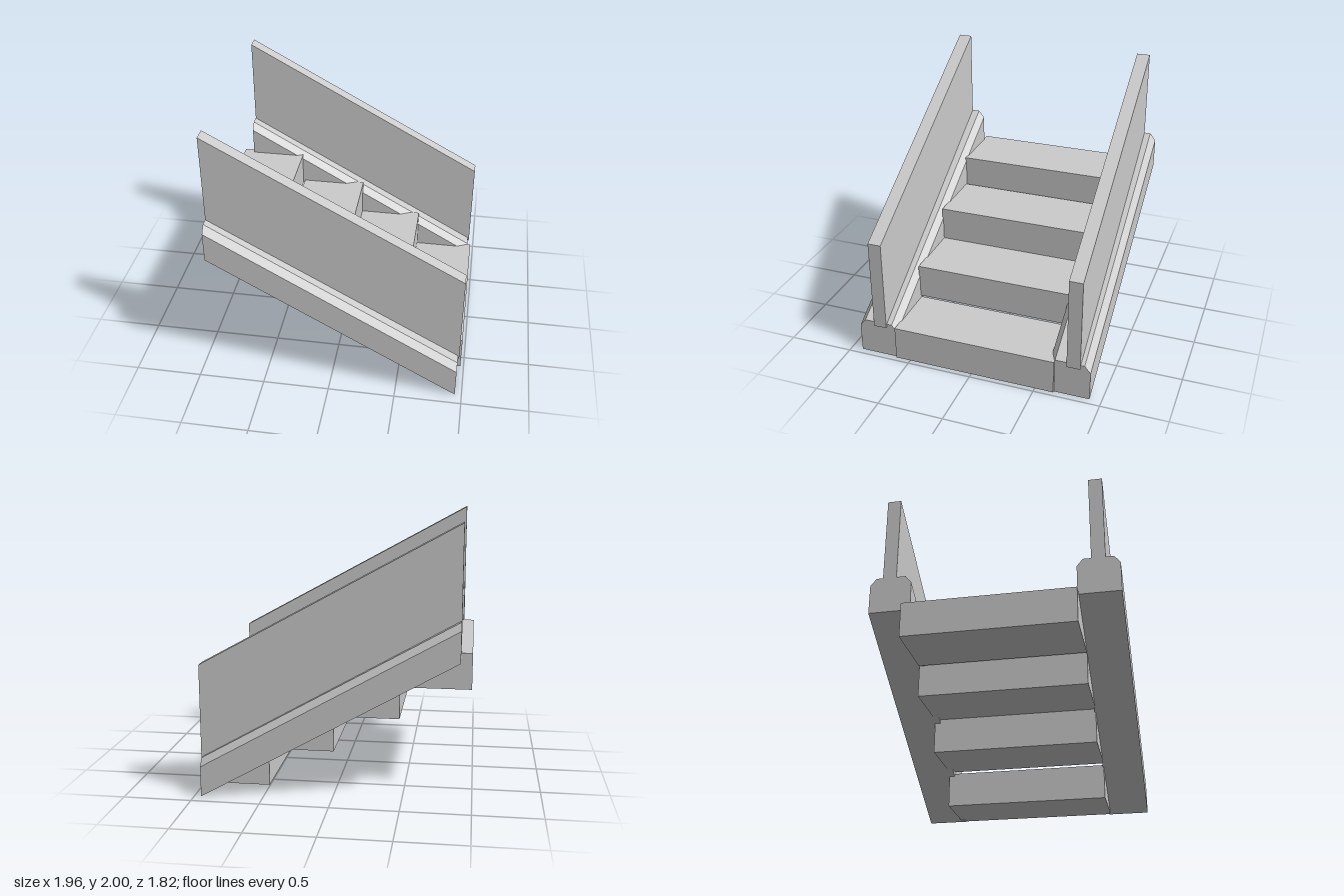
import * as THREE from 'three';

const material = new THREE.MeshStandardMaterial({ color: 0xcccccc, flatShading: true });

// Extrudes a (z, y) section along x from x0 to x1, then shears it down the
// flight (slope) and slightly sideways (skew). Section y is the height at x0.
function slopedBeam(name, section, x0, x1, slope, skew = 0) {
  const shape = new THREE.Shape(section.map(([z, y]) => new THREE.Vector2(-z, y)));
  const geometry = new THREE.ExtrudeGeometry(shape, { depth: x1 - x0, bevelEnabled: false });
  geometry.rotateY(Math.PI / 2);
  const p = geometry.attributes.position;
  for (let i = 0; i < p.count; i++) {
    const run = p.getX(i);
    p.setXYZ(i, x0 + run, p.getY(i) + slope * run, p.getZ(i) + skew * run);
  }
  geometry.computeVertexNormals();
  const mesh = new THREE.Mesh(geometry, material);
  mesh.name = name;
  return mesh;
}

export function createModel() {
  const model = new THREE.Group();
  model.name = 'staircase';

  // Solid block steps: x from, x to, bottom height
  const steps = [
    [0.50, 0.975, 0.015],
    [0.015, 0.515, 0.30],
    [-0.467, 0.03, 0.567],
    [-0.98, -0.482, 0.805],
  ];
  steps.forEach(([x0, x1, y], i) => {
    const step = new THREE.Mesh(new THREE.BoxGeometry(x1 - x0, 0.265, 1.255), material);
    step.position.set((x0 + x1) / 2, y + 0.1325, -0.0175);
    step.name = `step${i + 1}`;
    model.add(step);
  });

  for (const [side, s, panelZ] of [['front', 1, 0.757], ['back', -1, -0.768]]) {
    // Chamfered stringer beside the steps
    const z = s * 0.757;
    model.add(slopedBeam(`${side}Stringer`, [
      [z - 0.155, 1.055], [z + 0.155, 1.055], [z + 0.155, 1.28],
      [z + 0.11, 1.335], [z - 0.11, 1.335], [z - 0.155, 1.28],
    ], -0.9, 0.95, -1.05 / 1.85));

    // Solid balustrade panel, set very slightly askew
    model.add(slopedBeam(`${side}Panel`, [
      [panelZ - 0.051, 1.285], [panelZ + 0.051, 1.285],
      [panelZ + 0.051, 2.0], [panelZ - 0.051, 2.0],
    ], -0.9, 0.96, -1.03 / 1.86, -0.01));
  }
  return model;
}
